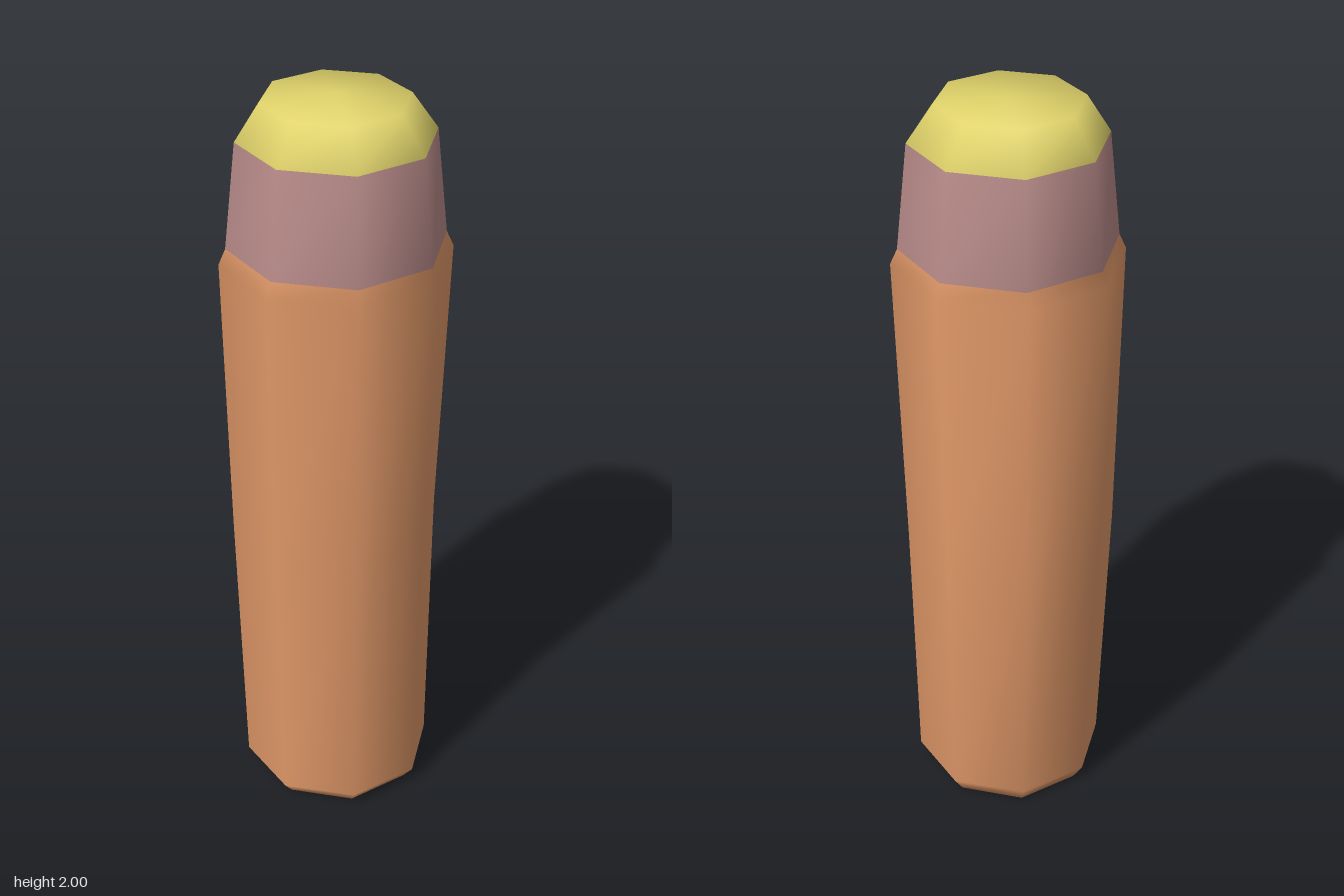
import * as THREE from 'three';

const SIDES = 8;
// Cross-sections, bottom to top: height, centre x, centre z, half width x, half depth z
const RINGS = [
  [0.0, 0, 0.005, 0.225, 0.23],
  [0.04, 0, 0.01, 0.257, 0.255],
  [0.8, 0, -0.027, 0.275, 0.277],
  [1.58, 0, 0.01, 0.295, 0.293],
  [1.62, 0, 0.008, 0.277, 0.277],
  [1.895, 0, 0.008, 0.248, 0.25],
  [1.99, -0.003, 0.01, 0.185, 0.187],
];

export function createModel() {
  const group = new THREE.Group();
  const material = (name, color) => new THREE.MeshStandardMaterial({ name, color });

  // All ring corners plus the centres of both ends
  const points = [];
  for (const [y, cx, cz, rx, rz] of RINGS) {
    for (let j = 0; j < SIDES; j++) {
      const a = (j / SIDES) * Math.PI * 2;
      points.push(cx + rx * Math.sin(a), y, cz + rz * Math.cos(a));
    }
  }
  const bottom = RINGS.length * SIDES;
  const top = bottom + 1;
  points.push(0, 0, 0, 0, 2, 0);

  // Side walls between two rings
  const walls = (from, to) => {
    const index = [];
    for (let i = from; i < to; i++) {
      for (let j = 0; j < SIDES; j++) {
        const k = (j + 1) % SIDES;
        const a = i * SIDES + j, b = i * SIDES + k;
        index.push(a, b, b + SIDES, a, b + SIDES, a + SIDES);
      }
    }
    return index;
  };
  const body = walls(0, 4);
  const collar = walls(4, 5);
  const tip = walls(5, 6);
  for (let j = 0; j < SIDES; j++) {
    const k = (j + 1) % SIDES;
    body.push(bottom, k, j);
    tip.push(top, 6 * SIDES + j, 6 * SIDES + k);
  }

  // Shared smooth normals keep the shading continuous across the parts
  const whole = new THREE.BufferGeometry();
  whole.setAttribute('position', new THREE.Float32BufferAttribute(points, 3));
  whole.setIndex([...body, ...collar, ...tip]);
  whole.computeVertexNormals();

  const addPart = (name, index, mat) => {
    const geometry = whole.clone();
    geometry.setIndex(index);
    const mesh = new THREE.Mesh(geometry, mat);
    mesh.name = name;
    group.add(mesh);
  };
  addPart('body', body, material('orange', 0xe09868));
  addPart('collar', collar, material('dusty mauve', 0xb48886));
  addPart('tip', tip, material('yellow', 0xdfd26a));
  return group;
}
